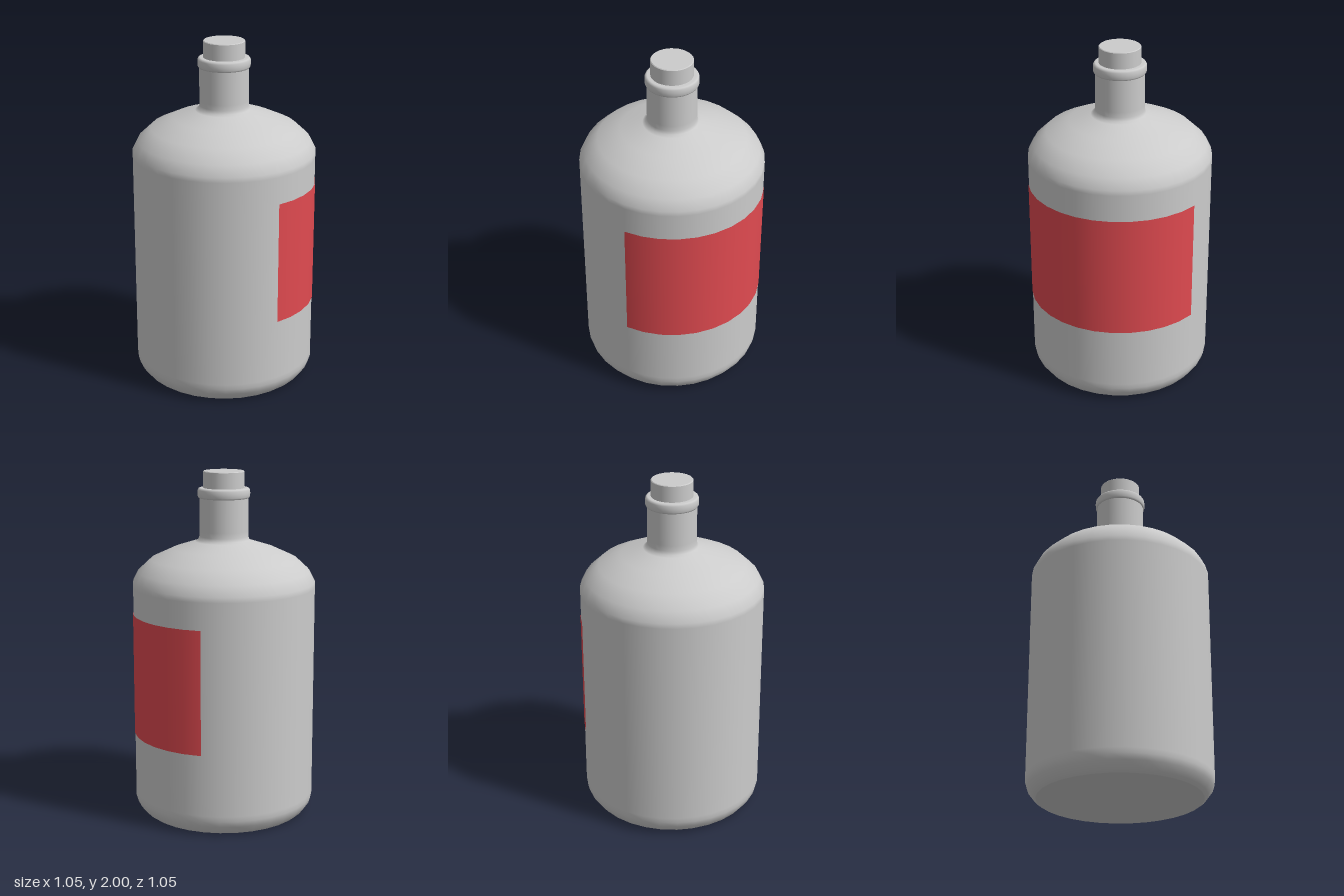
import * as THREE from 'three';

const SIDES = 32;
const glass = new THREE.MeshStandardMaterial({ color: 0xcccccc });
const red = new THREE.MeshStandardMaterial({ color: 0xe04a50, side: THREE.DoubleSide });

// Revolves [radius, height] pairs, listed from bottom to top
function lathe(name, profile, material = glass, segments = SIDES, start = 0, sweep = Math.PI * 2) {
  const points = profile.map(([r, y]) => new THREE.Vector2(r, y));
  const mesh = new THREE.Mesh(new THREE.LatheGeometry(points, segments, start, sweep), material);
  mesh.name = name;
  return mesh;
}

// Flat horizontal disc facing up or down
function disc(name, radius, y, up) {
  const mesh = new THREE.Mesh(new THREE.CircleGeometry(radius, SIDES), glass);
  mesh.rotation.x = up ? -Math.PI / 2 : Math.PI / 2;
  mesh.position.y = y;
  mesh.name = name;
  return mesh;
}

export function createModel() {
  const bottle = new THREE.Group();
  bottle.name = 'bottle';

  // Body with chamfered foot, rounded shoulder and neck
  bottle.add(lathe('body', [
    [0.465, 0], [0.485, 0.015], [0.515, 0.055], [0.525, 0.09], [0.525, 0.12],
    [0.525, 1.34], [0.525, 1.37], [0.495, 1.43], [0.42, 1.5], [0.29, 1.56],
    [0.165, 1.6], [0.147, 1.61], [0.14, 1.63], [0.14, 1.66], [0.14, 1.86],
  ]));
  bottle.add(disc('base', 0.465, 0, false));

  // Rounded lip around the mouth
  bottle.add(lathe('lip', [
    [0.136, 1.846], [0.144, 1.848], [0.149, 1.857], [0.15, 1.875],
    [0.149, 1.893], [0.144, 1.902], [0.136, 1.905], [0.11, 1.905],
  ]));

  // Stopper
  bottle.add(lathe('stopper', [[0.118, 1.89], [0.118, 1.996]]));
  bottle.add(lathe('stopperEdge', [[0.118, 1.996], [0.114, 2]]));
  bottle.add(disc('stopperTop', 0.114, 2, true));

  // Label wrapped from the front left round to the back
  bottle.add(lathe('label', [[0.528, 0.475], [0.528, 1.185]], red, 12, Math.PI / 4, Math.PI * 0.75));
  return bottle;
}
